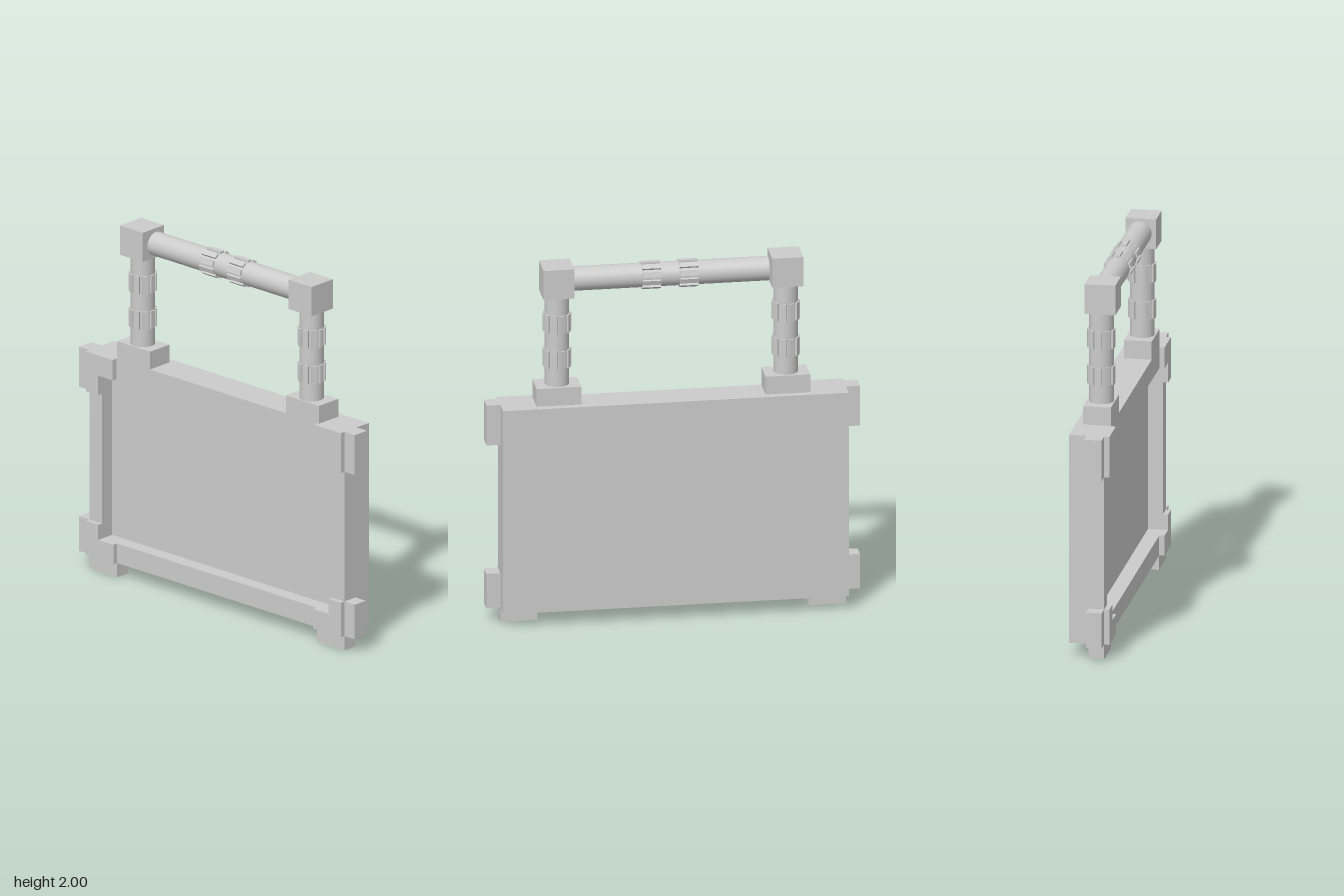
import * as THREE from 'three';

const material = new THREE.MeshStandardMaterial({ color: 0xcccccc });

export function createModel() {
  const model = new THREE.Group();

  const add = (name, geometry, parent = model) => {
    const mesh = new THREE.Mesh(geometry, material);
    mesh.name = name;
    parent.add(mesh);
    return mesh;
  };

  // Box given by its limits on each axis
  const box = (name, x0, x1, y0, y1, z0, z1, parent) => {
    const mesh = add(name, new THREE.BoxGeometry(Math.abs(x1 - x0), y1 - y0, z1 - z0), parent);
    mesh.position.set((x0 + x1) / 2, (y0 + y1) / 2, (z0 + z1) / 2);
    return mesh;
  };

  const extrude = (name, shape, z0, z1) => {
    const geometry = new THREE.ExtrudeGeometry(shape, { depth: z1 - z0, bevelEnabled: false });
    return add(name, geometry.translate(0, 0, z0));
  };

  const polygon = (points) => new THREE.Shape(points.map(([x, y]) => new THREE.Vector2(x, y)));
  const rectangle = (x, y0, y1) => polygon([[-x, y0], [x, y0], [x, y1], [-x, y1]]);

  // Panel: solid back and a raised rim around the recessed face
  const outerX = 0.925, bottom = 0.08, top = 1.23;
  const innerX = 0.835, innerBottom = 0.19, innerTop = 1.115;
  box('panelBack', -outerX, outerX, bottom, top, -0.11, 0);
  const rim = rectangle(outerX, bottom, top);
  rim.holes.push(rectangle(innerX, innerBottom, innerTop));
  extrude('panelRim', rim, 0, 0.08);

  // Corner guards: L-shaped plate in front, block on the side, foot below
  for (const s of [-1, 1]) {
    for (const upper of [true, false]) {
      const edge = upper ? top : bottom;
      const inner = upper ? innerTop : innerBottom;
      const end = upper ? 1.005 : 0.275;
      const arm = upper ? 0.73 : 0.725;
      extrude('cornerPlate', polygon([
        [s * outerX, edge], [s * arm, edge], [s * arm, inner],
        [s * innerX, inner], [s * innerX, end], [s * outerX, end],
      ]), 0.08, 0.108);
      box('cornerSideBlock', s * outerX, s, Math.min(edge, end), Math.max(edge, end),
        upper ? -0.015 : -0.005, 0.08);
    }
    box('foot', s * 0.725, s * outerX, 0, bottom, -0.005, 0.08);
  }

  // Round tube along y with two bands of raised ribs
  const ribbedTube = (name, length, bands) => {
    const group = new THREE.Group();
    group.name = name;
    add('tube', new THREE.CylinderGeometry(0.065, 0.065, length, 32), group);
    for (const y of bands) {
      for (let i = 0; i < 10; i++) {
        const angle = (i / 10) * Math.PI * 2;
        const rib = add('gripRib', new THREE.BoxGeometry(0.02, 0.1, 0.027), group);
        rib.position.set(Math.cos(angle) * 0.065, y, Math.sin(angle) * 0.065);
        rib.rotation.y = -angle;
      }
    }
    model.add(group);
    return group;
  };

  // Handle: base blocks, posts, corner cubes and cross bar
  for (const x of [-0.605, 0.62]) {
    box('handleBase', x - 0.12, x + 0.12, top, 1.33, -0.07, 0.08);
    ribbedTube('handlePost', 0.5, [-0.1, 0.1]).position.set(x, 1.58, 0.008);
    box('handleCorner', x - 0.083, x + 0.083, 1.83, 1.995, -0.068, 0.097);
  }
  const bar = ribbedTube('handleBar', 1.06, [-0.1, 0.1]);
  bar.rotation.z = Math.PI / 2;
  bar.position.set(0.02, 1.915, 0.008);

  return model;
}
